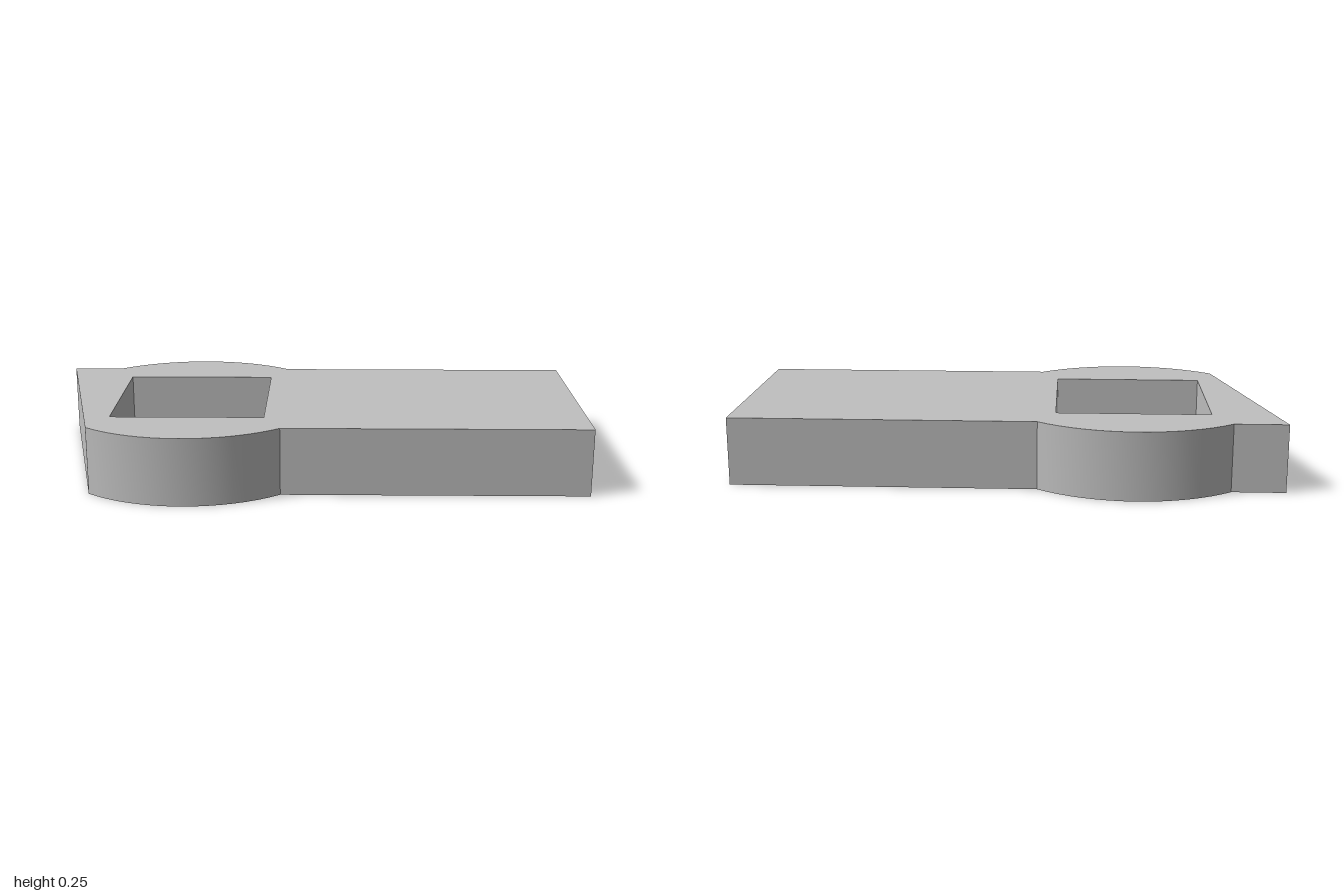
import * as THREE from 'three';
import { toCreasedNormals } from 'three/addons/utils/BufferGeometryUtils.js';

const HEIGHT = 0.25;
const HALF_WIDTH = 0.415;
const EYE_X = -0.46; // centre of the rounded bulge and the square hole
const EYE_RADIUS = 0.54;
const HOLE_HALF = 0.282;

export function createModel() {
  const group = new THREE.Group();
  group.name = 'barWithSquareEye';

  const greyMetal = new THREE.MeshStandardMaterial({ color: 0xc0c0c0 });
  greyMetal.name = 'greyMetal';

  // Outline: straight bar with a circular bulge on each long side
  const a = Math.asin(HALF_WIDTH / EYE_RADIUS);
  const outline = new THREE.Shape();
  outline.moveTo(-1, -HALF_WIDTH);
  outline.absarc(EYE_X, 0, EYE_RADIUS, Math.PI + a, 2 * Math.PI - a, false);
  outline.lineTo(1, -HALF_WIDTH);
  outline.lineTo(1, HALF_WIDTH);
  outline.absarc(EYE_X, 0, EYE_RADIUS, a, Math.PI - a, false);
  outline.lineTo(-1, HALF_WIDTH);
  outline.closePath();

  // Square through hole
  const hole = new THREE.Path();
  hole.moveTo(EYE_X - HOLE_HALF, -HOLE_HALF);
  hole.lineTo(EYE_X - HOLE_HALF, HOLE_HALF);
  hole.lineTo(EYE_X + HOLE_HALF, HOLE_HALF);
  hole.lineTo(EYE_X + HOLE_HALF, -HOLE_HALF);
  hole.closePath();
  outline.holes.push(hole);

  // Extrude upwards; keep edges sharp and the bulges smooth
  let geometry = new THREE.ExtrudeGeometry(outline, { depth: HEIGHT, bevelEnabled: false, curveSegments: 8 });
  geometry.rotateX(-Math.PI / 2);
  geometry = toCreasedNormals(geometry, 0.5);

  const body = new THREE.Mesh(geometry, greyMetal);
  body.name = 'body';
  group.add(body);
  return group;
}
